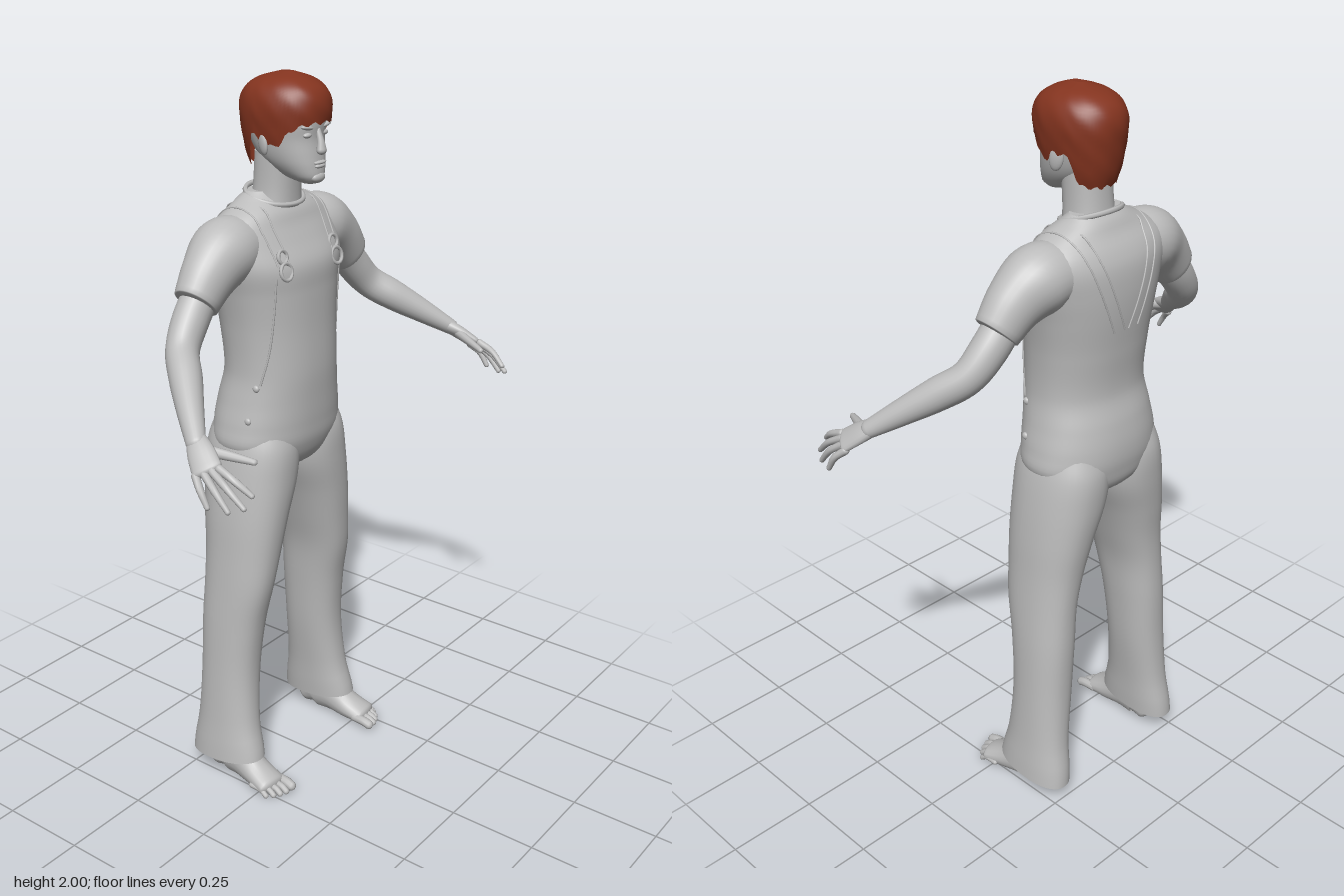
import * as THREE from 'three';

const V = (x, y, z) => new THREE.Vector3(x, y, z);
const grey = new THREE.MeshStandardMaterial({ color: 0xbcbcbc, side: THREE.DoubleSide });
grey.name = 'plain grey';
const red = new THREE.MeshStandardMaterial({ color: 0x84341f, side: THREE.DoubleSide });
red.name = 'red brown hair';
const POWER = 2.25; // squareness of the horizontal sections

// Smooth lookup in a table whose first column is the key
function look(table, k) {
  const n = table.length;
  let i = 0;
  while (i < n - 2 && k > table[i + 1][0]) i++;
  const slope = (j, c) => {
    const a = table[Math.max(j - 1, 0)], b = table[Math.min(j + 1, n - 1)];
    return (b[c] - a[c]) / (b[0] - a[0]);
  };
  const a = table[i], b = table[i + 1], h = b[0] - a[0];
  const t = THREE.MathUtils.clamp((k - a[0]) / h, 0, 1), t2 = t * t, t3 = t2 * t;
  return a.map((v, c) => (2 * t3 - 3 * t2 + 1) * v + (t3 - 2 * t2 + t) * h * slope(i, c)
    + (3 * t2 - 2 * t3) * b[c] + (t3 - t2) * h * slope(i + 1, c));
}

// Skin over closed rings of points, with optional end caps
function skin(rings, capStart = true, capEnd = true) {
  const pos = [], idx = [], m = rings[0].length;
  rings.forEach(r => r.forEach(p => pos.push(p.x, p.y, p.z)));
  for (let i = 0; i < rings.length - 1; i++) for (let j = 0; j < m; j++) {
    const a = i * m + j, b = i * m + (j + 1) % m;
    idx.push(a, b, b + m, a, b + m, a + m);
  }
  const cap = (ring, flip) => {
    const s = pos.length / 3, c = V(0, 0, 0);
    ring.forEach(p => { pos.push(p.x, p.y, p.z); c.addScaledVector(p, 1 / m); });
    pos.push(c.x, c.y, c.z);
    for (let j = 0; j < m; j++) {
      const a = s + j, b = s + (j + 1) % m;
      idx.push(s + m, flip ? b : a, flip ? a : b);
    }
  };
  if (capStart) cap(rings[0], true);
  if (capEnd) cap(rings[rings.length - 1], false);
  const g = new THREE.BufferGeometry();
  g.setAttribute('position', new THREE.Float32BufferAttribute(pos, 3));
  g.setIndex(idx);
  g.computeVertexNormals();
  return g;
}

// Upright form from rows of [y, centre x, half width, front z, back z]
function stack(table, { rows = 40, cols = 40, bottom = null, capStart = true } = {}) {
  const y0 = table[0][0], y1 = table[table.length - 1][0], rings = [];
  for (let i = 0; i <= rows; i++) {
    const ring = [];
    for (let j = 0; j < cols; j++) {
      const a = j / cols * Math.PI * 2, lo = bottom ? bottom(a) : y0;
      const s = bottom ? Math.sin(i / rows * Math.PI / 2) : i / rows, y = lo + (y1 - lo) * s;
      const [, cx, rx, zf, zb] = look(table, y), sn = Math.sin(a), cs = Math.cos(a);
      const e = 2 / POWER;
      ring.push(V(cx + rx * Math.sign(sn) * Math.abs(sn) ** e, y,
        (zf + zb) / 2 + (zf - zb) / 2 * Math.sign(cs) * Math.abs(cs) ** e));
    }
    rings.push(ring);
  }
  return skin(rings, capStart);
}

// Limb along a path of [x, y, z, radius towards ref, radius across], with rounded ends
function limb(path, { ref = V(0, 0, 1), round = 0.9, cols = 18, steps = 6 } = {}) {
  const table = path.map((p, i) => [i, ...p]), end = path.length - 1, rings = [];
  const add = (k, a) => {
    const [, x, y, z, ra, rb] = look(table, k);
    const p = look(table, Math.max(k - 0.05, 0)), q = look(table, Math.min(k + 0.05, end));
    const t = V(q[1] - p[1], q[2] - p[2], q[3] - p[3]).normalize();
    const u = ref.clone().addScaledVector(t, -ref.dot(t)).normalize(), v = t.clone().cross(u);
    const c = V(x, y, z).addScaledVector(t, Math.min(ra, rb) * round * Math.sin(a)), f = Math.cos(a);
    rings.push(Array.from({ length: cols }, (_, j) => {
      const w = j / cols * Math.PI * 2;
      return c.clone().addScaledVector(u, ra * f * Math.cos(w)).addScaledVector(v, rb * f * Math.sin(w));
    }));
  };
  for (let i = 4; i > 0; i--) add(0, -i * 0.37);
  for (let i = 0; i <= end * steps; i++) add(i / steps, 0);
  for (let i = 1; i <= 4; i++) add(end, i * 0.37);
  return skin(rings);
}

const torsoTable = [
  [0.92, 0, 0.04, -0.08, -0.18], [0.96, 0, 0.14, -0.02, -0.245], [1.02, 0, 0.2, 0.008, -0.265],
  [1.08, 0, 0.198, 0.015, -0.268], [1.15, 0, 0.184, 0.018, -0.258], [1.23, 0, 0.172, 0.02, -0.24],
  [1.35, 0, 0.178, 0.015, -0.248], [1.45, 0, 0.195, 0.012, -0.258], [1.52, 0, 0.213, 0.008, -0.26],
  [1.58, 0, 0.222, -0.022, -0.254], [1.62, 0, 0.21, -0.043, -0.238], [1.655, 0, 0.16, -0.058, -0.215],
  [1.685, 0, 0.1, -0.085, -0.2], [1.7, 0, 0.08, -0.1, -0.185]];

// Point lying on the front (side 1) or back (side -1) of the torso
function onTorso(x, y, side, lift = 0.003) {
  const [, , rx, zf, zb] = look(torsoTable, y);
  const k = Math.max(0, 1 - Math.min(1, Math.abs(x / rx)) ** POWER) ** (1 / POWER);
  return V(x, y + lift, (zf + zb) / 2 + side * ((zf - zb) / 2 * k + lift));
}

export function createModel() {
  const model = new THREE.Group();
  model.name = 'standingMan';
  const add = (name, geo, mat = grey) => {
    const m = new THREE.Mesh(geo, mat);
    m.name = name;
    model.add(m);
    return m;
  };
  const cord = (name, pts, r, closed = false) =>
    add(name, new THREE.TubeGeometry(new THREE.CatmullRomCurve3(pts, closed), 40, r, 6, closed));
  const ball = (name, x, y, z, sx, sy, sz) => {
    const m = add(name, new THREE.SphereGeometry(1, 16, 12));
    m.position.set(x, y, z);
    m.scale.set(sx, sy, sz);
    return m;
  };

  // Torso, neck and collar
  add('torso', stack(torsoTable, { rows: 70, cols: 48 }));
  add('neck', stack([[1.62, 0, 0.075, -0.06, -0.19], [1.7, 0, 0.064, -0.058, -0.178],
    [1.8, 0, 0.062, -0.05, -0.17]], { rows: 12 }));
  cord('collar', Array.from({ length: 16 }, (_, i) => {
    const a = i / 16 * Math.PI * 2, c = Math.cos(a);
    return V(0.086 * Math.sin(a), 1.685 - 0.02 * c, -0.127 + 0.068 * c);
  }), 0.007, true);

  // Head with facial features
  add('head', stack([[1.727, 0, 0.02, 0.01, -0.03], [1.74, 0, 0.04, 0.023, -0.075],
    [1.77, 0, 0.061, 0.024, -0.13], [1.8, 0, 0.073, 0.021, -0.165], [1.84, 0, 0.081, 0.017, -0.185],
    [1.88, 0, 0.086, 0.02, -0.19], [1.92, 0, 0.085, 0.015, -0.185], [1.97, 0, 0.055, -0.025, -0.15],
    [1.98, 0, 0.03, -0.05, -0.12]], { rows: 36 }));
  add('nose', limb([[0, 1.862, 0.016, 0.006, 0.007], [0, 1.835, 0.024, 0.009, 0.01],
    [0, 1.812, 0.027, 0.012, 0.015]]));
  ball('upperLip', 0, 1.782, 0.022, 0.024, 0.005, 0.009);
  ball('lowerLip', 0, 1.773, 0.022, 0.02, 0.006, 0.008);
  ball('chin', 0, 1.744, 0.015, 0.026, 0.015, 0.014);

  // Hair cap with an uneven lower edge
  const edge = [[0, 1.882], [0.5, 1.88], [0.9, 1.865], [1.3, 1.825], [1.6, 1.835],
    [1.85, 1.85], [2.15, 1.78], [2.6, 1.765], [3.15, 1.765]];
  const hair = stack([[1.76, 0, 0.074, 0.024, -0.185], [1.8, 0, 0.085, 0.028, -0.198],
    [1.86, 0, 0.097, 0.03, -0.207], [1.92, 0, 0.1, 0.035, -0.21], [1.96, 0, 0.087, 0.02, -0.193],
    [1.985, 0, 0.058, -0.015, -0.155], [2, 0, 0.012, -0.06, -0.1]], {
    rows: 26, cols: 72, capStart: false,
    bottom: a => look(edge, Math.min(a, Math.PI * 2 - a))[1] + 0.005 * Math.sin(a * 17)
  });
  const hp = hair.attributes.position;
  for (let i = 0; i < hp.count; i++) {
    const a = Math.atan2(hp.getX(i), hp.getZ(i) + 0.09), y = hp.getY(i);
    const k = 1 + 0.012 * Math.sin(a * 7 + y * 40) * Math.sin(y * 60 + a * 3);
    hp.setX(i, hp.getX(i) * k);
    hp.setZ(i, (hp.getZ(i) + 0.09) * k - 0.09);
  }
  hair.computeVertexNormals();
  add('hair', hair, red);

  for (const s of [1, -1]) {
    const side = s > 0 ? 'left' : 'right';
    const mir = path => path.map(([x, ...r]) => [x * s, ...r]);

    // Eyes, brows and ears
    ball(side + 'Eye', s * 0.034, 1.852, 0.008, 0.015, 0.007, 0.009);
    ball(side + 'Brow', s * 0.036, 1.871, 0.01, 0.025, 0.006, 0.009).rotation.z = s * 0.15;
    ball(side + 'Ear', s * 0.087, 1.832, -0.093, 0.009, 0.033, 0.019).rotation.set(-0.2, s * 0.35, 0);

    // Short sleeve and bare arm
    add(side + 'Sleeve', limb(mir([[0.13, 1.572, -0.14, 0.085, 0.08], [0.2, 1.562, -0.135, 0.088, 0.09],
      [0.265, 1.522, -0.128, 0.07, 0.078], [0.322, 1.462, -0.124, 0.056, 0.064]]), { round: 0.1, cols: 28 }));
    add(side + 'Arm', limb(mir([[0.28, 1.5, -0.127, 0.045, 0.05], [0.345, 1.425, -0.122, 0.046, 0.05],
      [0.4, 1.362, -0.103, 0.042, 0.046], [0.45, 1.317, -0.05, 0.042, 0.044],
      [0.51, 1.265, 0.017, 0.034, 0.034], [0.565, 1.215, 0.082, 0.025, 0.022]]), { cols: 24 }));

    // Hand with four fingers and a thumb
    const across = V(-0.03 * s, 0.015, 0.055).normalize();
    add(side + 'Palm', limb(mir([[0.555, 1.222, 0.072, 0.024, 0.02], [0.575, 1.2, 0.105, 0.034, 0.018],
      [0.597, 1.172, 0.143, 0.038, 0.014]]), { ref: across }));
    const knuckle = [V(0.585, 1.178, 0.17), V(0.595, 1.172, 0.156), V(0.605, 1.165, 0.14), V(0.614, 1.157, 0.122)];
    const tip = [V(0.572, 1.127, 0.258), V(0.597, 1.102, 0.254), V(0.617, 1.092, 0.222), V(0.632, 1.095, 0.172)];
    knuckle.forEach((k, i) => {
      const m = k.clone().lerp(tip[i], 0.5).add(V(0.006, 0.006, 0.002)), t = tip[i];
      add(side + 'Finger' + (i + 1), limb(mir([[k.x, k.y, k.z, 0.0105, 0.011],
        [m.x, m.y, m.z, 0.009, 0.01], [t.x, t.y, t.z, 0.007, 0.007]]), { cols: 10 }));
    });
    add(side + 'Thumb', limb(mir([[0.565, 1.203, 0.105, 0.014, 0.015], [0.537, 1.192, 0.165, 0.011, 0.012],
      [0.513, 1.182, 0.218, 0.008, 0.008]]), { cols: 10 }));

    // Trouser leg with a flared, sloping cuff
    add(side + 'TrouserLeg', stack(mir0([[0.05, 0.223, 0.063, -0.018, -0.262], [0.1, 0.219, 0.064, -0.025, -0.258],
      [0.18, 0.212, 0.063, -0.046, -0.244], [0.34, 0.197, 0.068, -0.058, -0.236], [0.5, 0.186, 0.071, -0.044, -0.236],
      [0.62, 0.175, 0.073, -0.02, -0.234], [0.72, 0.158, 0.082, -0.01, -0.238], [0.82, 0.139, 0.094, -0.002, -0.25],
      [0.93, 0.112, 0.108, 0.004, -0.262], [1.02, 0.1, 0.103, 0.002, -0.262], [1.09, 0.095, 0.085, -0.02, -0.24]], s),
      { rows: 50, capStart: false, bottom: a => 0.067 + 0.014 * Math.cos(a) }));

    // Bare foot with toes
    const foot = limb(mir([[0.216, 0.034, -0.185, 0.03, 0.034], [0.216, 0.06, -0.15, 0.036, 0.062],
      [0.219, 0.058, -0.095, 0.039, 0.058], [0.224, 0.036, -0.03, 0.045, 0.038], [0.23, 0.022, 0.025, 0.048, 0.024]]),
      { ref: V(1, 0, 0), round: 0.6 });
    const fp = foot.attributes.position;
    for (let i = 0; i < fp.count; i++) fp.setY(i, Math.max(0, fp.getY(i)));
    foot.computeVertexNormals();
    add(side + 'Foot', foot);
    for (let i = 0; i < 5; i++) {
      const r = i ? 0.0098 - i * 0.0005 : 0.014, x = [0.194, 0.218, 0.237, 0.254, 0.269][i];
      const z = [0.07, 0.07, 0.063, 0.052, 0.036][i];
      add(side + 'Toe' + (i + 1), limb(mir([[x, 0.022, z - 0.055, r, r], [x, 0.02, z - 0.02, r, r],
        [x + 0.001, r, z, r, r]]), { ref: V(1, 0, 0), cols: 10 }));
    }

    // Shoulder strap from the bib over to the middle of the back
    const strap = [[0.11, 1.53, 1], [0.115, 1.58, 1], [0.12, 1.62, 1], [0.12, 1.645, 1], [0.12, 1.665, 1],
      [0.118, 1.665, -1], [0.11, 1.64, -1], [0.1, 1.6, -1], [0.078, 1.54, -1], [0.05, 1.47, -1], [0.025, 1.41, -1]];
    for (const [name, w] of [['StrapOuterEdge', 0.018], ['StrapInnerEdge', -0.018]])
      cord(side + name, strap.map(([x, y, f]) => onTorso(s * (x + w), y, f, 0.0005)), 0.0025);

    // Strap buckle, bib edge and hip buttons
    for (const [y, r] of [[1.55, 0.017], [1.513, 0.022]]) {
      const ring = add(side + 'Buckle', new THREE.TorusGeometry(r, 0.005, 6, 16));
      ring.position.copy(onTorso(s * 0.108, y, 1, 0.002));
      ring.rotation.x = -0.25;
    }
    cord(side + 'BibEdge', [[0.135, 1.5], [0.137, 1.4], [0.145, 1.3], [0.16, 1.21]]
      .map(([x, y]) => onTorso(s * x, y, 1, 0)), 0.003);
    for (const [x, y] of [[0.166, 1.2], [0.185, 1.11]]) {
      const p = onTorso(s * x, y, 1, 0);
      ball(side + 'HipButton', p.x, p.y, p.z, 0.007, 0.01, 0.01);
    }
  }
  return model;
}

// Mirror the centre column of an upright table
function mir0(table, s) {
  return table.map(([y, cx, ...r]) => [y, cx * s, ...r]);
}
